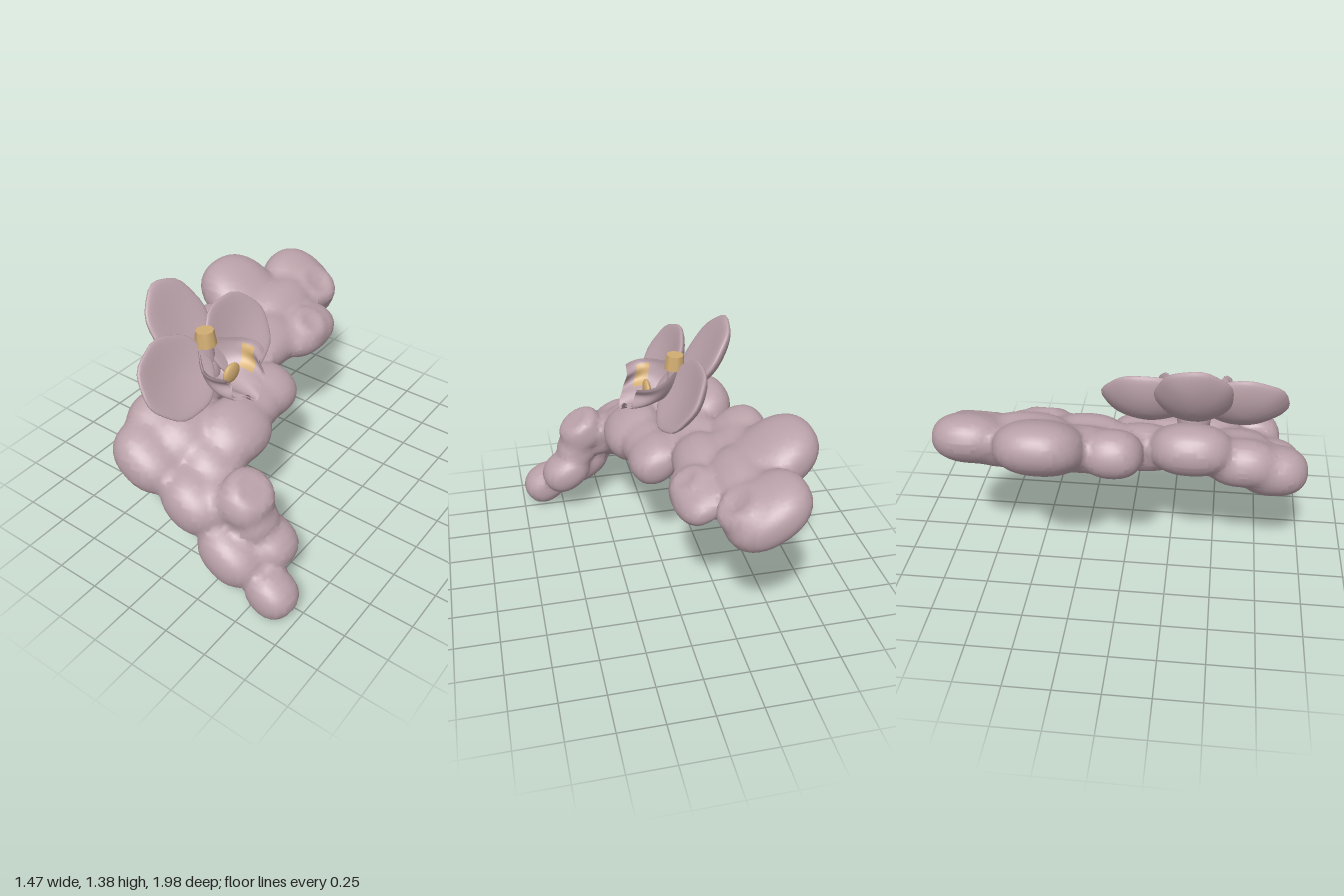
import * as THREE from 'three';

const V = (x, y, z) => new THREE.Vector3(x, y, z);

// Sloping frame of the billowing base: down the slope and outward
const slope = V(0.84, -0.54, 0).normalize();
const out = V(0.54, 0.84, 0).normalize();

// Billows: centre x, y, z, then radii along slope, outward and across
const billows = [
  [-0.35, 0.865, -0.79, 0.235, 0.135, 0.205],
  [-0.33, 0.82, -0.63, 0.19, 0.12, 0.17],
  [-0.495, 0.92, -0.4, 0.26, 0.145, 0.235],
  [-0.29, 0.85, -0.5, 0.15, 0.135, 0.25],
  [-0.08, 0.79, -0.46, 0.14, 0.095, 0.23],
  [-0.17, 0.8, -0.2, 0.15, 0.125, 0.21],
  [-0.36, 0.84, -0.2, 0.16, 0.125, 0.18],
  [-0.42, 0.86, -0.04, 0.17, 0.13, 0.16],
  [0.03, 0.7, 0.06, 0.15, 0.12, 0.16],
  [0.04, 0.69, 0.22, 0.14, 0.12, 0.15],
  [-0.2, 0.77, 0.1, 0.16, 0.13, 0.2],
  [-0.29, 0.83, 0.36, 0.2, 0.14, 0.22],
  [0.08, 0.68, 0.43, 0.18, 0.135, 0.21],
  [-0.1, 0.7, 0.6, 0.18, 0.135, 0.2],
  [0.09, 0.6, 0.63, 0.16, 0.125, 0.16],
  [-0.25, 0.74, 0.63, 0.165, 0.13, 0.19],
  [-0.17, 0.65, 0.8, 0.21, 0.14, 0.19],
  [0.12, 0.5, 0.8, 0.19, 0.145, 0.175],
  [0.23, 0.51, 0.73, 0.14, 0.115, 0.14],
  [0.355, 0.55, 0.71, 0.145, 0.105, 0.15],
  [0.4, 0.43, 0.7, 0.12, 0.11, 0.13],
  [0.36, 0.28, 0.83, 0.19, 0.135, 0.15],
  [0.475, 0.3, 0.67, 0.155, 0.115, 0.14],
  [0.6, 0.128, 0.82, 0.14, 0.115, 0.125],
].map(([x, y, z, ru, rn, rz]) => ({ c: V(x, y, z), ru, rn, rz }));

// Curled ridges: centre, ring radius, ridge radius
const curls = [
  [0.375, 0.6, 0.7, 0.085, 0.05],
  [-0.23, 0.895, -0.78, 0.09, 0.05],
  [-0.05, 0.84, -0.45, 0.07, 0.045],
].map(([x, y, z, ring, tube]) => ({ c: V(x, y, z), ring, tube }));

// Blended field: above 0 inside, below 0 outside
function field(x, y, z) {
  let sum = 0;
  for (const b of billows) {
    const dx = x - b.c.x, dy = y - b.c.y;
    const u = Math.abs(dx * slope.x + dy * slope.y) / b.ru;
    const n = Math.abs(dx * out.x + dy * out.y) / b.rn;
    const w = Math.abs(z - b.c.z) / b.rz;
    sum += Math.exp(14 * (1 - Math.pow(u ** 2.3 + n ** 2.3 + w ** 2.3, 1 / 2.3)));
  }
  for (const k of curls) {
    const dx = x - k.c.x, dy = y - k.c.y;
    const r = Math.hypot(dx * slope.x + dy * slope.y, z - k.c.z) - k.ring;
    sum += Math.exp(8 * (1 - Math.hypot(r, dx * out.x + dy * out.y) / k.tube));
  }
  return Math.log(sum);
}

// Skin over the blended field: one point per crossed cell, one quad per crossed edge
function skinGeometry() {
  const h = 0.03, start = [-0.86, -0.11, -1.12], dims = [58, 47, 75];
  const stride = [1, dims[0], dims[0] * dims[1]];
  const total = dims[0] * dims[1] * dims[2];
  const values = new Float32Array(total), vertexOf = new Int32Array(total).fill(-1);
  const positions = [], index = [];
  const coords = (i) => [i % dims[0], Math.floor(i / stride[1]) % dims[1], Math.floor(i / stride[2])];
  for (let i = 0; i < total; i++) values[i] = field(...coords(i).map((g, a) => start[a] + g * h));

  for (let i = 0; i < total; i++) {
    const g = coords(i);
    if (g.some((v, a) => v >= dims[a] - 1)) continue;
    let inside = 0;
    for (let k = 0; k < 8; k++) {
      if (values[i + (k & 1) + ((k >> 1) & 1) * stride[1] + (k >> 2) * stride[2]] > 0) inside++;
    }
    if (inside === 0 || inside === 8) continue;
    // settle the cell centre onto the skin
    const p = V(...g.map((v, a) => start[a] + (v + 0.5) * h));
    for (let step = 0; step < 4; step++) {
      const f = field(p.x, p.y, p.z), e = 0.001;
      const grad = V(field(p.x + e, p.y, p.z) - f, field(p.x, p.y + e, p.z) - f,
        field(p.x, p.y, p.z + e) - f).divideScalar(e);
      p.addScaledVector(grad, THREE.MathUtils.clamp(-f / grad.lengthSq(), -0.01 / grad.length(), 0.01 / grad.length()));
    }
    vertexOf[i] = positions.length / 3;
    positions.push(p.x, p.y, p.z);
  }

  for (let i = 0; i < total; i++) {
    const g = coords(i);
    if (g.some((v, a) => v < 1 || v >= dims[a] - 1)) continue;
    for (let a = 0; a < 3; a++) {
      const here = values[i] > 0, next = values[i + stride[a]] > 0;
      if (here === next) continue;
      const sb = stride[(a + 1) % 3], sc = stride[(a + 2) % 3];
      const q = [i - sb - sc, i - sc, i, i - sb].map((c) => vertexOf[c]);
      if (!here) q.reverse();
      index.push(q[0], q[1], q[2], q[0], q[2], q[3]);
    }
  }
  const geo = new THREE.BufferGeometry();
  geo.setAttribute('position', new THREE.Float32BufferAttribute(positions, 3));
  geo.setIndex(index);
  geo.computeVertexNormals();
  return geo;
}

// Ruffled bowl of the lip: t runs outward, phi runs around the trough
function lipGeometry(t0, t1, p0, p1, inset, nt, np) {
  const geo = new THREE.PlaneGeometry(1, 1, np, nt);
  const pos = geo.attributes.position, uv = geo.attributes.uv;
  for (let i = 0; i < pos.count; i++) {
    const t = t0 + (t1 - t0) * uv.getY(i), phi = p0 + (p1 - p0) * uv.getX(i);
    const ruffle = 1 + 0.13 * t * t * Math.cos(7 * phi), side = Math.sin(phi) ** 2;
    const rz = (0.05 + 0.14 * Math.sin(0.75 * Math.PI * t)) * ruffle - inset;
    const ry = (0.11 + 0.03 * t) * ruffle - inset;
    pos.setXYZ(i, -0.16 + t * (0.33 - 0.07 * side),
      1.03 + 0.05 * side * (1.25 - t) - ry * Math.cos(phi), 0.36 + rz * Math.sin(phi));
  }
  geo.computeVertexNormals();
  return geo;
}

export function createModel() {
  const model = new THREE.Group();
  const mauve = new THREE.MeshStandardMaterial({ name: 'dusty mauve', color: 0xbba2aa, side: THREE.DoubleSide });
  const gold = new THREE.MeshStandardMaterial({ name: 'soft gold', color: 0xd2ad72, side: THREE.DoubleSide });
  const add = (parent, name, geo, mat) => {
    const mesh = new THREE.Mesh(geo, mat);
    mesh.name = name;
    parent.add(mesh);
    return mesh;
  };

  add(model, 'billowingBase', skinGeometry(), mauve);

  // Flower frame: sideways, up the petals, facing direction
  const flower = new THREE.Group();
  flower.name = 'flower';
  const up = V(-0.55, 0.83, 0).normalize();
  const facing = V(0.83, 0.55, 0).normalize();
  flower.quaternion.setFromRotationMatrix(new THREE.Matrix4().makeBasis(V(0, 0, -1), up, facing));
  flower.position.set(-0.15, 1.02, 0.365);
  model.add(flower);

  // Cupped oval petal with a gently uneven rim
  const petal = (name, a, b, thick, cup) => {
    const geo = new THREE.SphereGeometry(1, 32, 20).rotateX(Math.PI / 2);
    const pos = geo.attributes.position;
    for (let i = 0; i < pos.count; i++) {
      const x = pos.getX(i), y = pos.getY(i), r2 = x * x + y * y;
      const wave = 1 + 0.02 * r2 * Math.cos(7 * Math.atan2(y, x));
      pos.setXYZ(i, x * a * wave, y * b * wave, pos.getZ(i) * thick + cup * r2);
    }
    geo.computeVertexNormals();
    return add(flower, name, geo, mauve);
  };
  petal('upperPetal', 0.2, 0.25, 0.05, 0.045).position.set(0, 0.22, -0.105);
  for (const side of [-1, 1]) {
    const p = petal('sidePetal', 0.245, 0.22, 0.045, 0.06);
    p.position.set(side * 0.25, 0.01, -0.03);
    p.rotation.z = side * 0.2;
  }

  // Base of the flower joining it to the billows
  const calyx = add(flower, 'flowerBase', new THREE.SphereGeometry(1, 20, 14), mauve);
  calyx.scale.set(0.09, 0.12, 0.09);
  calyx.position.set(0, -0.04, -0.06);

  // Lip with its lining, gold side markings and gold callus
  add(model, 'lip', lipGeometry(0, 1, -1.75, 1.75, 0, 14, 56), mauve);
  add(model, 'lipLining', lipGeometry(0, 0.99, -1.74, 1.74, 0.014, 14, 56), mauve);
  for (const side of [-1, 1]) {
    add(model, 'lipMarking', lipGeometry(0.48, 0.76, side * 0.65, side * 1.6, 0.021, 5, 16), gold);
  }
  const callus = add(model, 'lipCallus', new THREE.SphereGeometry(1, 16, 12), gold);
  callus.scale.set(0.022, 0.055, 0.065);
  callus.position.set(0.01, 0.985, 0.36);

  // Column at the heart of the flower with its gold cap
  add(model, 'column', new THREE.CylinderGeometry(0.045, 0.06, 0.14, 12), mauve).position.set(-0.16, 1.03, 0.36);
  const cap = add(model, 'columnCap', new THREE.CylinderGeometry(0.05, 0.06, 0.085, 8), gold);
  cap.position.set(-0.155, 1.142, 0.36);
  cap.rotation.z = 0.06;

  return model;
}
